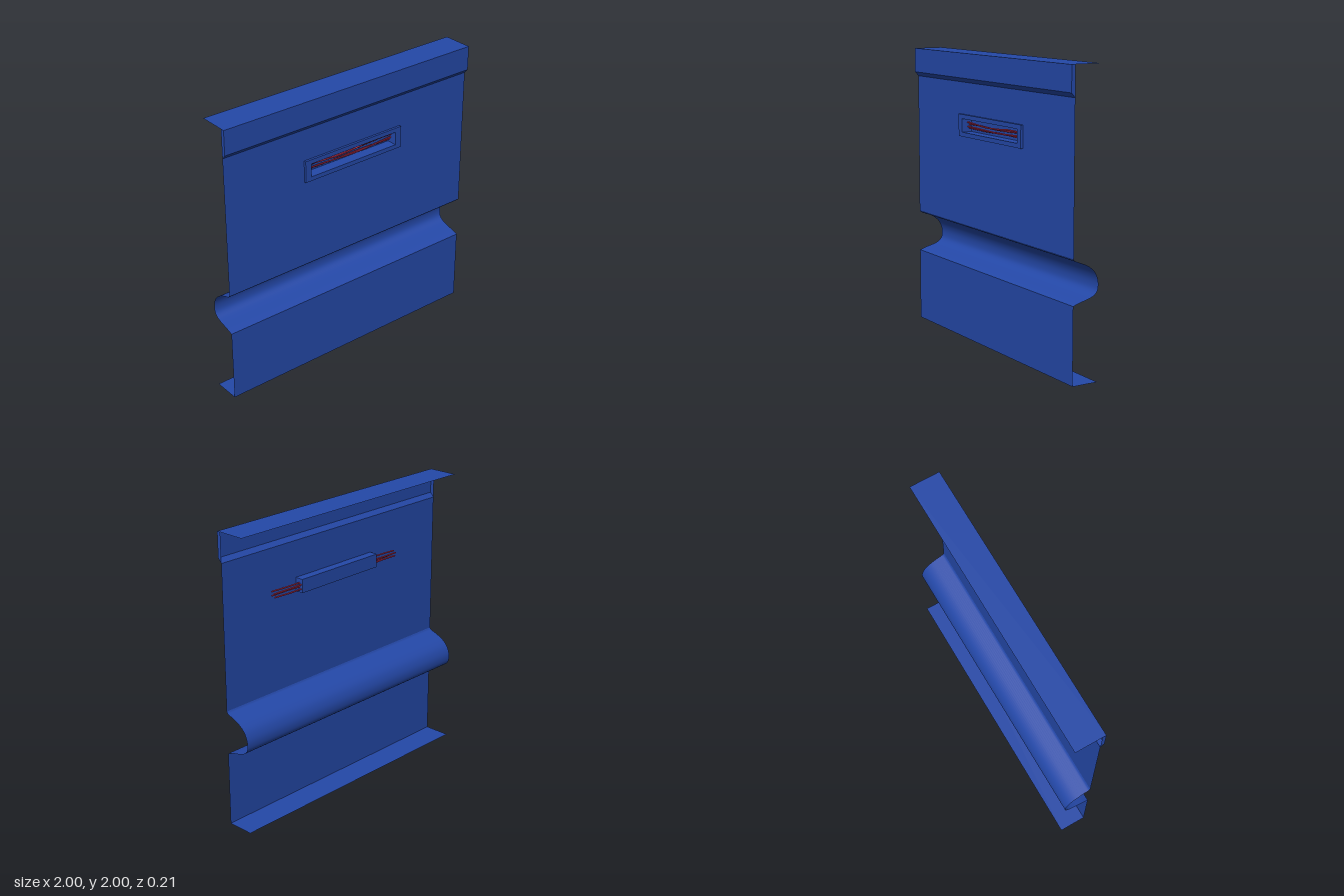
import * as THREE from 'three';

const blue = new THREE.MeshStandardMaterial({ color: 0x2448a8, side: THREE.DoubleSide });
const red = new THREE.MeshStandardMaterial({ color: 0xc03050 });

const add = (parent, name, geometry, material = blue) => {
  const mesh = new THREE.Mesh(geometry, material);
  mesh.name = name;
  parent.add(mesh);
  return mesh;
};

// Sheet swept along x from a list of [z, y] points, smooth along the profile
function sweep(points, x0 = -1, x1 = 1) {
  const pos = [], index = [];
  points.forEach(([z, y], i) => {
    pos.push(x0, y, z, x1, y, z);
    if (i) {
      const a = 2 * i - 2;
      index.push(a, a + 2, a + 1, a + 1, a + 2, a + 3);
    }
  });
  const g = new THREE.BufferGeometry();
  g.setAttribute('position', new THREE.Float32BufferAttribute(pos, 3));
  g.setIndex(index);
  g.computeVertexNormals();
  return g;
}

// Rectangle outline, either as a shape or as a hole
const rect = (x0, y0, x1, y1, Type = THREE.Shape) => new Type([
  [x0, y0], [x1, y0], [x1, y1], [x0, y1],
].map(([x, y]) => new THREE.Vector2(x, y)));

export function createModel() {
  const model = new THREE.Group();
  model.name = 'wallPanel';
  const face = 0.08, back = -0.107, lip = 0.107;
  const slot = [-0.34, 1.457, 0.37, 1.55];

  // Raised top band with its bevel, closed at both ends
  const band = new THREE.Group();
  band.name = 'topBand';
  model.add(band);
  add(band, 'topFlange', sweep([[back, 2], [lip, 2]]));
  add(band, 'bandFront', sweep([[lip, 2], [lip, 1.83]]));
  add(band, 'bandBevel', sweep([[lip, 1.83], [face, 1.8]]));
  const cap = new THREE.Shape([[lip, 2], [face, 2], [face, 1.8], [lip, 1.83]]
    .map(([z, y]) => new THREE.Vector2(-z, y)));
  for (const x of [-1, 1]) {
    const end = add(band, 'bandEnd', new THREE.ShapeGeometry(cap));
    end.rotation.y = Math.PI / 2;
    end.position.x = x;
  }

  // Upper sheet, cut open for the recess
  const upper = rect(-1, 0.81, 1, 1.8);
  upper.holes.push(rect(...slot, THREE.Path));
  add(model, 'upperSheet', new THREE.ShapeGeometry(upper)).position.z = face;

  // Rolled channel pressed into the sheet
  const roll = new THREE.CatmullRomCurve3([
    [face, 0.81], [0.07, 0.797], [0.02, 0.778], [-0.035, 0.752], [-0.078, 0.715],
    [-0.101, 0.67], [back, 0.63], [-0.1, 0.59], [-0.075, 0.563], [-0.03, 0.545],
    [0.03, 0.53], [face, 0.513],
  ].map(([z, y]) => new THREE.Vector3(0, y, z)), false, 'centripetal');
  add(model, 'rolledChannel', sweep(roll.getPoints(48).map((p) => [p.z, p.y])));

  // Lower sheet and bottom flange
  add(model, 'lowerSheet', sweep([[face, 0.513], [face, 0]]));
  add(model, 'bottomFlange', sweep([[face, 0], [back, 0]]));

  // Frame around the slot
  const frame = rect(-0.385, 1.427, 0.415, 1.58);
  frame.holes.push(rect(...slot, THREE.Path));
  add(model, 'slotFrame', new THREE.ExtrudeGeometry(frame, { depth: 0.016, bevelEnabled: false }))
    .position.z = face;

  // Recessed tray behind the slot
  const tray = new THREE.Group();
  tray.name = 'recessTray';
  model.add(tray);
  const [x0, y0, x1, y1] = slot, deep = 0.02;
  for (const [name, a, b] of [
    ['trayTop', [face, y1], [deep, y1]],
    ['trayBack', [deep, y1], [deep, y0]],
    ['trayBottom', [deep, y0], [face, y0]],
  ]) add(tray, name, sweep([a, b], x0, x1));
  for (const x of [x0, x1]) {
    const side = add(tray, 'trayEnd', new THREE.PlaneGeometry(face - deep, y1 - y0));
    side.rotation.y = Math.PI / 2;
    side.position.set(x, (y0 + y1) / 2, (face + deep) / 2);
  }

  // Loose wires running through the tray and out of both ends
  const wires = new THREE.Group();
  wires.name = 'wires';
  model.add(wires);
  for (let i = 0; i < 4; i++) {
    const path = [];
    for (let k = 0; k <= 8; k++) {
      const x = -0.55 + k * 0.145 + 0.01 * (i % 2);
      const sag = i % 2 ? 0.012 * Math.exp(-x * x * 30) : 0;
      path.push(new THREE.Vector3(x,
        1.483 + i * 0.013 - sag + 0.003 * Math.sin(k * 1.7 + i * 2),
        0.037 + 0.012 * (i % 2) + 0.004 * Math.cos(k * 1.3 + i)));
    }
    add(wires, 'wire', new THREE.TubeGeometry(new THREE.CatmullRomCurve3(path), 48, 0.0055, 8), red);
  }
  return model;
}
